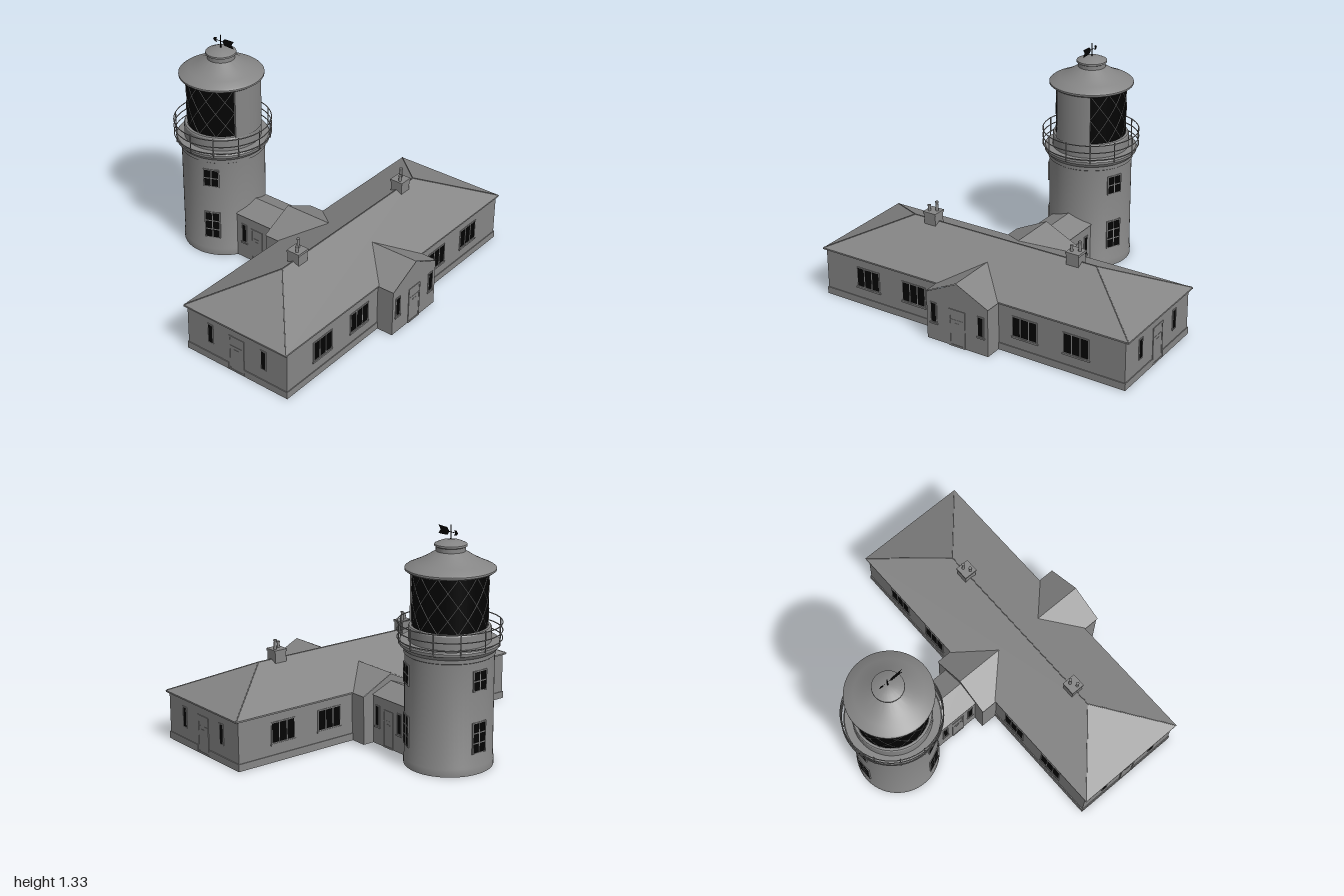
import * as THREE from 'three';
import { toCreasedNormals } from 'three/addons/utils/BufferGeometryUtils.js';

const grey = new THREE.MeshStandardMaterial({ color: 0x858585, side: THREE.DoubleSide });
const black = new THREE.MeshStandardMaterial({ color: 0x030303, side: THREE.DoubleSide });

function add(parent, name, geo, mat = grey, x = 0, y = 0, z = 0) {
  const m = new THREE.Mesh(geo, mat);
  m.name = name;
  m.position.set(x, y, z);
  parent.add(m);
  return m;
}
const box = (parent, name, w, h, d, x, y, z, mat = grey) =>
  add(parent, name, new THREE.BoxGeometry(w, h, d), mat, x, y, z);

// Flat faces: each polygon is a list of corners, fanned into triangles
function faces(polys) {
  const pos = [];
  for (const p of polys)
    for (let i = 1; i < p.length - 1; i++) pos.push(...p[0], ...p[i], ...p[i + 1]);
  const g = new THREE.BufferGeometry();
  g.setAttribute('position', new THREE.Float32BufferAttribute(pos, 3));
  g.computeVertexNormals();
  return g;
}
const lathe = (pts, seg = 64) =>
  toCreasedNormals(new THREE.LatheGeometry(pts.map(p => new THREE.Vector2(...p)), seg), 0.5);

// Thin round bar between two points
function bar(parent, name, a, b, r) {
  const curve = new THREE.LineCurve3(new THREE.Vector3(...a), new THREE.Vector3(...b));
  return add(parent, name, new THREE.TubeGeometry(curve, 1, r, 6));
}

// Glazed window facing +z, centred on its own origin
function windowUnit(w, h, cols, rows, sill = true) {
  const g = new THREE.Group(), t = 0.006, d = 0.008;
  g.name = 'window';
  box(g, 'glass', w, h, 0.004, 0, 0, 0, black);
  for (let i = 0; i <= cols; i++) box(g, 'uprightBar', t, h + t, d, -w / 2 + (w * i) / cols, 0, 0);
  for (let j = 0; j <= rows; j++) box(g, 'crossBar', w + t, t, d, 0, -h / 2 + (h * j) / rows, 0);
  if (sill) box(g, 'sill', w + 0.014, 0.01, 0.012, 0, -h / 2 - 0.008, 0);
  return g;
}

// Panelled door facing +z, standing on its own origin
function doorUnit(w = 0.105, h = 0.225) {
  const g = new THREE.Group();
  g.name = 'door';
  box(g, 'doorLeaf', w - 0.02, h - 0.01, 0.004, 0, h / 2, 0);
  for (const s of [-1, 1]) box(g, 'doorJamb', 0.01, h, 0.008, s * (w / 2 - 0.005), h / 2, 0);
  box(g, 'doorHead', w, 0.01, 0.008, 0, h - 0.005, 0);
  box(g, 'doorStep', w, 0.01, 0.01, 0, 0.005, 0);
  box(g, 'midRail', w - 0.02, 0.006, 0.007, 0, h * 0.72, 0);
  box(g, 'letterPlate', 0.03, 0.006, 0.007, 0, h * 0.63, 0);
  return g;
}

function place(parent, obj, x, y, z, rot = 0) {
  obj.position.set(x, y, z);
  obj.rotation.y = rot;
  parent.add(obj);
}

const EAVE = 0.285, RIDGE = 0.463, MID = 0.387;
const BACK = 0.043, FRONT = 0.731, END = 0.98, PORCH = 0.2;

function house() {
  const g = new THREE.Group();
  g.name = 'house';

  // Walls follow one plan outline: long block, two porches and the link
  const half = [[0, 0.835], [PORCH, 0.835], [PORCH, FRONT], [END, FRONT], [END, BACK], [PORCH, BACK],
    [PORCH, -0.062], [0.13, -0.062], [0.13, -0.345]];
  const walls = [];
  for (const s of [-1, 1])
    for (let i = 0; i < half.length - 1; i++) {
      const [x0, z0] = half[i], [x1, z1] = half[i + 1];
      const p = [[s * x0, 0, z0], [s * x1, 0, z1], [s * x1, EAVE, z1], [s * x0, EAVE, z0]];
      walls.push(s > 0 ? p : p.reverse());
    }
  walls.push([[-PORCH, EAVE, 0.835], [PORCH, EAVE, 0.835], [0, 0.383, 0.835]]);
  walls.push([[PORCH, EAVE, -0.062], [-PORCH, EAVE, -0.062], [0, 0.383, -0.062]]);
  add(g, 'walls', faces(walls));

  // Hipped main roof with a thin fascia
  const z0 = 0.032, z1 = 0.739, e = 0.29, f = 0.281, h = 0.6;
  const c = [[-1, z1], [1, z1], [1, z0], [-1, z0]];
  const at = (i, y) => [c[i % 4][0], y, c[i % 4][1]];
  const L = [-h, RIDGE, MID], R = [h, RIDGE, MID];
  const roof = [[at(0, e), at(1, e), R, L], [at(1, e), at(2, e), R],
    [at(2, e), at(3, e), L, R], [at(3, e), at(0, e), L]];
  for (let i = 0; i < 4; i++) roof.push([at(i, f), at(i + 1, f), at(i + 1, e), at(i, e)]);
  add(g, 'mainRoof', faces(roof));
  bar(g, 'ridgeTiles', L, R, 0.003);
  for (let i = 0; i < 4; i++) {
    const top = c[i][0] < 0 ? L : R;
    bar(g, 'hipTiles', at(i, e).map((v, k) => v + (top[k] - v) * 0.01), top, 0.003);
  }

  // Porch roofs run back into the main slopes; link roof reaches the tower
  const gable = (name, w, ridge, zOut, zEave, zRidge) => add(g, name, faces([-1, 1].map(s => {
    const p = [[s * w, 0.287, zOut], [s * w, 0.287, zEave], [0, ridge, zRidge], [0, ridge, zOut]];
    return s * (zOut - zEave) > 0 ? p : p.reverse();
  })));
  gable('frontPorchRoof', 0.206, 0.388, 0.84, 0.739, 0.535);
  gable('backPorchRoof', 0.206, 0.388, -0.066, 0.032, 0.235);
  gable('linkRoof', 0.137, 0.342, -0.345, -0.06, -0.06);

  // Plinth, interrupted at porches and end doors
  for (const s of [-1, 1]) {
    for (const z of [FRONT, BACK])
      box(g, 'plinth', END - PORCH + 0.005, 0.042, 0.01, s * (END + PORCH + 0.005) / 2, 0.021, z);
    for (const [a, b] of [[BACK, MID - 0.055], [MID + 0.055, FRONT]])
      box(g, 'plinth', 0.01, 0.042, b - a, s * END, 0.021, (a + b) / 2);
  }

  // Windows and doors
  const wy = 0.17, wh = 0.118;
  for (const s of [-1, 1]) {
    for (const x of [0.366, 0.685]) {
      place(g, windowUnit(0.155, wh, 3, 1), s * x, wy, FRONT);
      place(g, windowUnit(0.155, wh, 3, 1), s * x, wy, BACK, Math.PI);
    }
    place(g, windowUnit(0.037, wh, 1, 1), s * 0.154, wy, 0.835);
    for (const z of [0.205, 0.573])
      place(g, windowUnit(0.034, wh, 1, 1, false), s * END, wy, z, s * Math.PI / 2);
    place(g, doorUnit(), s * END, 0, MID, s * Math.PI / 2);
    for (const z of [-0.1, -0.29]) place(g, windowUnit(0.033, wh, 1, 1), s * 0.13, wy, z, s * Math.PI / 2);
    place(g, doorUnit(0.085, 0.222), s * 0.13, 0, -0.195, s * Math.PI / 2);
  }
  place(g, doorUnit(), 0, 0, 0.835);

  // Chimneys with a pair of pots
  for (const x of [-0.47, 0.472]) {
    box(g, 'chimneyStack', 0.076, 0.075, 0.076, x, 0.478, MID);
    box(g, 'chimneyCap', 0.084, 0.014, 0.084, x, 0.513, MID);
    for (const [dx, dz, ph] of [[-0.02, 0.012, 0.032], [0.018, -0.01, 0.053]]) {
      add(g, 'chimneyPot', new THREE.CylinderGeometry(0.007, 0.009, ph, 12), grey, x + dx, 0.52 + ph / 2, MID + dz);
      add(g, 'potRim', new THREE.CylinderGeometry(0.01, 0.01, 0.007, 12), grey, x + dx, 0.52 + ph, MID + dz);
    }
  }
  return g;
}

function tower() {
  const g = new THREE.Group();
  g.name = 'tower';
  g.position.z = -0.555;

  // Shaft, gallery deck and lantern base in one profile
  add(g, 'shaft', lathe([[0.248, 0], [0.248, 0.042], [0.244, 0.05], [0.244, 0.63], [0.25, 0.634], [0.25, 0.655],
    [0.256, 0.66], [0.264, 0.674], [0.272, 0.678], [0.274, 0.695], [0.268, 0.702], [0.225, 0.702],
    [0.225, 0.775], [0.22, 0.783], [0.2, 0.785]]));

  // Shaft windows at two levels: two flanks and the back
  for (const a of [66, -66, 180].map(THREE.MathUtils.degToRad))
    for (const [y, h, rows] of [[0.527, 0.11, 2], [0.207, 0.172, 3]])
      place(g, windowUnit(0.09, h, 2, rows, false), Math.sin(a) * 0.243, y, Math.cos(a) * 0.243, a);

  // Lantern glass with solid landward panel
  const y0 = 0.78, y1 = 1.08, pa = 0.5, r = 0.206, span = 2 * Math.PI - 2 * pa;
  add(g, 'lanternGlass', new THREE.CylinderGeometry(r, r, y1 - y0, 64, 1, true, pa, span), black, 0, (y0 + y1) / 2);
  add(g, 'lanternPanel', new THREE.CylinderGeometry(0.23, 0.23, y1 - y0, 20, 1, true, -pa, 2 * pa), grey, 0, (y0 + y1) / 2);
  for (const s of [-1, 1]) {
    const jamb = box(g, 'panelJamb', 0.006, y1 - y0, 0.03, s * Math.sin(pa) * 0.215, (y0 + y1) / 2, Math.cos(pa) * 0.215);
    jamb.rotation.y = s * pa;
  }

  // Diagonal glazing bars wound both ways, clipped to the glass
  const n = 10, step = span / n;
  for (const s of [-1, 1])
    for (let i = -2; i < n + 2; i++) {
      const pts = [];
      for (let k = 0; k <= 16; k++) {
        const u = i + (k / 16) * 2;
        if (u < 0 || u > n) continue;
        const a = s > 0 ? pa + u * step : 2 * Math.PI - pa - u * step;
        pts.push(new THREE.Vector3(Math.sin(a) * (r + 0.001), y0 + (y1 - y0) * k / 16, Math.cos(a) * (r + 0.001)));
      }
      if (pts.length > 2)
        add(g, 'glazingBar', new THREE.TubeGeometry(new THREE.CatmullRomCurve3(pts), 16, 0.0022, 5));
    }

  // Lantern roof and ventilator cap
  add(g, 'lanternRoof', lathe([[0.2, 1.075], [0.232, 1.08], [0.246, 1.09], [0.246, 1.1], [0.236, 1.108],
    [0.19, 1.128], [0.14, 1.153], [0.085, 1.187], [0.08, 1.19], [0.08, 1.213], [0.089, 1.218], [0.088, 1.228],
    [0.055, 1.243], [0, 1.252]]));

  // Gallery railing
  for (const y of [0.715, 0.758, 0.802]) {
    const rail = add(g, 'rail', new THREE.TorusGeometry(0.284, 0.003, 6, 64), grey, 0, y);
    rail.rotation.x = Math.PI / 2;
  }
  for (let i = 0; i < 12; i++) {
    const a = (i * Math.PI) / 6, x = Math.sin(a), z = Math.cos(a);
    bar(g, 'railPost', [x * 0.28, 0.69, z * 0.28], [x * 0.28, 0.808, z * 0.28], 0.0035);
    bar(g, 'railBracket', [x * 0.265, 0.692, z * 0.265], [x * 0.282, 0.692, z * 0.282], 0.0035);
  }

  // Weather vane: flat blades along z on a thin rod
  add(g, 'vaneRod', new THREE.CylinderGeometry(0.003, 0.004, 0.08, 8), black, 0, 1.288);
  const blade = (name, pts) => add(g, name,
    new THREE.ShapeGeometry(new THREE.Shape(pts.map(p => new THREE.Vector2(...p)))).rotateY(-Math.PI / 2), black);
  blade('vaneTail', [[0.012, 1.29], [0.03, 1.311], [0.1, 1.314], [0.083, 1.29], [0.1, 1.267], [0.03, 1.269]]);
  blade('vaneHead', [[-0.056, 1.29], [-0.045, 1.303], [-0.025, 1.305], [-0.033, 1.29], [-0.025, 1.276], [-0.045, 1.278]]);
  blade('vaneArm', [[-0.04, 1.288], [0.02, 1.288], [0.02, 1.292], [-0.04, 1.292]]);
  return g;
}

export function createModel() {
  const model = new THREE.Group();
  model.name = 'lighthouse';
  model.add(house(), tower());
  return model;
}
